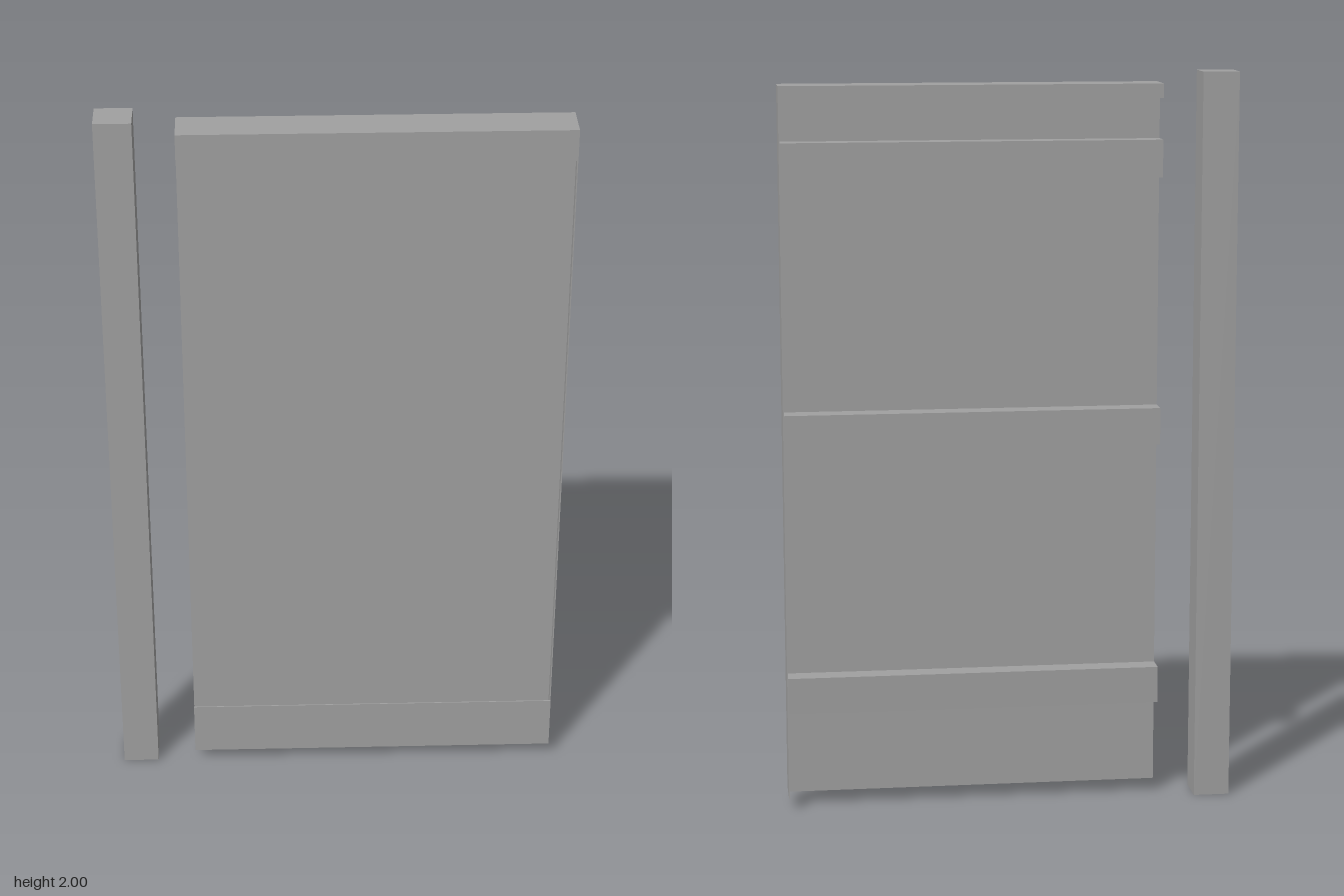
import * as THREE from 'three';

export function createModel() {
  const model = new THREE.Group();
  model.name = 'doorPanelAndPost';
  const steel = new THREE.MeshStandardMaterial({ color: 0xa0a0a0, side: THREE.DoubleSide });
  steel.name = 'greySteel';

  // box given by its lower and upper limits on each axis
  function box(parent, name, [x0, x1], [y0, y1], [z0, z1]) {
    const mesh = new THREE.Mesh(new THREE.BoxGeometry(x1 - x0, y1 - y0, z1 - z0), steel);
    mesh.name = name;
    mesh.position.set((x0 + x1) / 2, (y0 + y1) / 2, (z0 + z1) / 2);
    parent.add(mesh);
    return mesh;
  }

  const T = 0.003; // sheet metal thickness
  const X = [-0.408, 0.61];
  const BOTTOM = 0.037, TOP = 1.97;
  const BACK = -0.056, FRONT = 0.053;

  // hollow post, open underneath
  const post = box(model, 'post', [-0.613, -0.515], [0, 2], [-0.05, 0.046]);
  const index = Array.from(post.geometry.index.array);
  index.splice(18, 6);
  post.geometry.setIndex(index);
  post.geometry.clearGroups();

  const panel = new THREE.Group();
  panel.name = 'panel';
  model.add(panel);

  // recessed main sheet and the closing end wall
  box(panel, 'mainSheet', [X[0], X[1] - T], [BOTTOM, 1.945], [0.003, 0.027]);
  box(panel, 'endWall', [X[1] - T, X[1]], [BOTTOM, TOP - T], [BACK, FRONT - T]);

  // top cap folded down at front and back
  const cap = new THREE.Group();
  cap.name = 'topCap';
  panel.add(cap);
  box(cap, 'capTop', X, [TOP - T, TOP], [BACK, FRONT]);
  box(cap, 'capFrontBand', X, [1.885, TOP - T], [FRONT - T, FRONT]);
  box(cap, 'capBackLip', X, [TOP - 0.038, TOP - T], [BACK, BACK + T]);

  // kick plate along the front bottom
  box(panel, 'kickPlate', X, [BOTTOM, 0.19], [FRONT - T, FRONT]);

  // three channel rails on the back, open toward the sheet
  for (const top of [1.822, 1.099, 0.375]) {
    const rail = new THREE.Group();
    rail.name = 'backRail';
    panel.add(rail);
    const rx = [X[0], X[1] - T], low = top - 0.1;
    box(rail, 'railWeb', rx, [low, top], [BACK, BACK + T]);
    box(rail, 'railTopFlange', rx, [top - T, top], [BACK + T, 0]);
    box(rail, 'railBottomFlange', rx, [low, low + T], [BACK + T, 0]);
  }

  return model;
}
